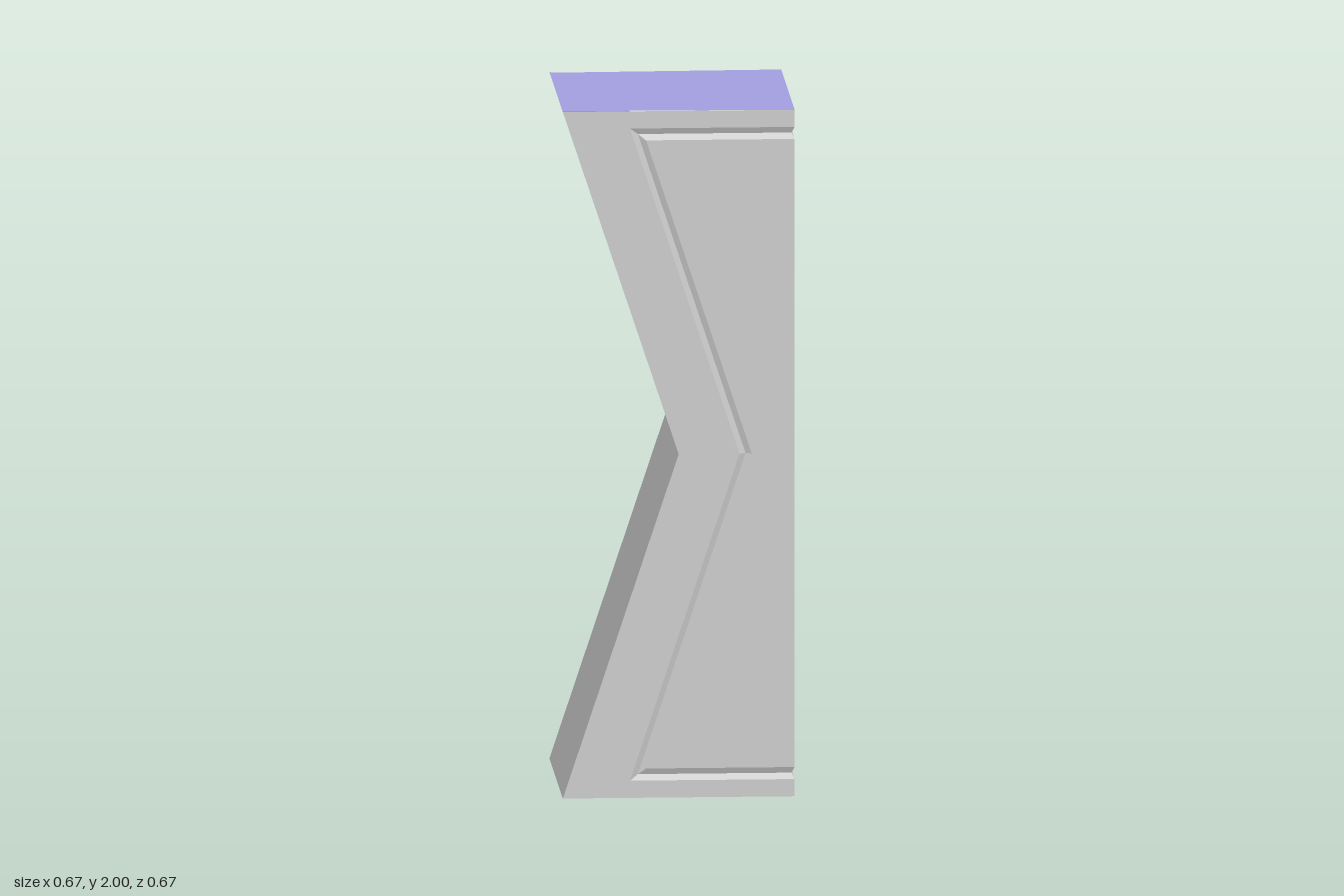
import * as THREE from 'three';

const H = 0.333;   // half width of the block
const DEPTH = 0.008; // depth of the carved grooves

const grey = new THREE.MeshStandardMaterial({ color: 0xcccccc, side: THREE.DoubleSide, flatShading: true });
const lilac = new THREE.MeshStandardMaterial({ color: 0xa39ee0, side: THREE.DoubleSide, flatShading: true });

// Mappings from a flat outline (u, v) onto each side, outward facing
const onFront = (u, v) => [u, v, H];
const onRight = (u, v) => [H, v, -u];
const onBack = (u, v) => [-u, v, -H];
const onTop = (u, v) => [u, 2, -v];
const onBottom = (u, v) => [u, 0, v];

// Flat plate cut from an outline
function plate(name, outline, place, material = grey) {
  const geo = new THREE.ShapeGeometry(new THREE.Shape(outline.map(p => new THREE.Vector2(...p))));
  const pos = geo.attributes.position;
  for (let i = 0; i < pos.count; i++) pos.setXYZ(i, ...place(pos.getX(i), pos.getY(i)));
  geo.computeVertexNormals();
  const mesh = new THREE.Mesh(geo, material);
  mesh.name = name;
  return mesh;
}

// Faceted surface between neighbouring 3D lines
function loft(name, lines, material = grey) {
  const v = [];
  for (let k = 0; k < lines.length - 1; k++) {
    const a = lines[k], b = lines[k + 1];
    for (let i = 0; i < a.length - 1; i++) {
      v.push(...a[i], ...b[i], ...b[i + 1], ...a[i], ...b[i + 1], ...a[i + 1]);
    }
  }
  const geo = new THREE.BufferGeometry();
  geo.setAttribute('position', new THREE.Float32BufferAttribute(v, 3));
  geo.computeVertexNormals();
  const mesh = new THREE.Mesh(geo, material);
  mesh.name = name;
  return mesh;
}

// Completes a top half with its mirror image about y = 1
const flip = ([u, v]) => [u, 2 - v];
const mirrored = (half, mid = []) => [...half, ...mid, ...half.map(flip).reverse()];

export function createModel() {
  const group = new THREE.Group();

  // Front wall: border and inner panel on either side of the groove
  const outer = mirrored([[H, 1.95], [-0.14, 1.95]], [[0.175, 1]]);
  const inner = mirrored([[H, 1.915], [-0.094, 1.915]], [[0.21, 1]]);
  group.add(
    plate('frontBorder', [...outer, [H, 0], [-H, 0], [0, 1], [-H, 2], [H, 2]], onFront),
    plate('frontPanel', inner, onFront),
  );

  // Groove running round the front panel and on across the right wall
  const wrap = (line, inset) => {
    const d = H - inset;
    const end = y => [d, y, -H];
    const pts = line.map(([x, y]) => [Math.min(x, d), y, d]);
    return [end(line[0][1]), ...pts, end(line[line.length - 1][1])];
  };
  const middle = outer.map((p, i) => [(p[0] + inner[i][0]) / 2, (p[1] + inner[i][1]) / 2]);
  group.add(loft('frontGroove', [wrap(inner, 0), wrap(middle, DEPTH), wrap(outer, 0)]));

  // Right wall: edge bands, border and panel, cut back at the chamfered corner
  for (const y of [0, 1.95]) {
    group.add(plate('rightBand', [[-H, y], [H, y], [H, y + 0.05], [-H, y + 0.05]], onRight));
  }
  const rightOuter = mirrored([[0.28, 1.812], [-0.01, 1.812]]);
  const rightInner = mirrored([[0.248, 1.78], [0.025, 1.78]]);
  const rightMiddle = mirrored([[0.263, 1.796], [0.008, 1.796]]);
  group.add(
    plate('rightBorder', [...rightOuter, [H, 0.13], [H, 0.085], [-H, 0.085],
      [-H, 1.915], [H, 1.915], [H, 1.87]], onRight),
    plate('rightPanel', [...rightInner, [0.2, 0.27], [0.2, 1.73]], onRight),
    loft('rightGroove', [
      rightInner.map(p => onRight(...p)),
      rightMiddle.map(([u, y]) => [H - DEPTH, y, -u]),
      rightOuter.map(p => onRight(...p)),
    ]),
  );

  // Chamfered back corner with a pointed stop at each end
  const edgeR = y => [H, y, -0.2], edgeB = y => [0.2, y, -H], tip = y => [H, y, -H];
  group.add(loft('cornerChamfer', [
    [tip(0.13), edgeR(0.27), edgeR(1.73), tip(1.87)],
    [tip(0.13), edgeB(0.27), edgeB(1.73), tip(1.87)],
  ]));

  // Two sloping faces that form the pinched left side
  const pinch = z => [[-H, 2, z], [0, 1, z], [-H, 0, z]];
  group.add(loft('pinchedSide', [pinch(H), pinch(-H)]));

  // Coloured back panel, leaving a slim opening above and below
  group.add(plate('backPanel', [[-0.2, 0.27], [H, 0], [0, 1], [H, 2], [-0.2, 1.73]], onBack, lilac));

  // Slightly tapered end caps
  const cap = [[-H, -0.317], [H, -H], [H, H], [-H, 0.317]];
  group.add(plate('topCap', cap, onTop, lilac), plate('bottomCap', cap, onBottom, lilac));

  return group;
}
